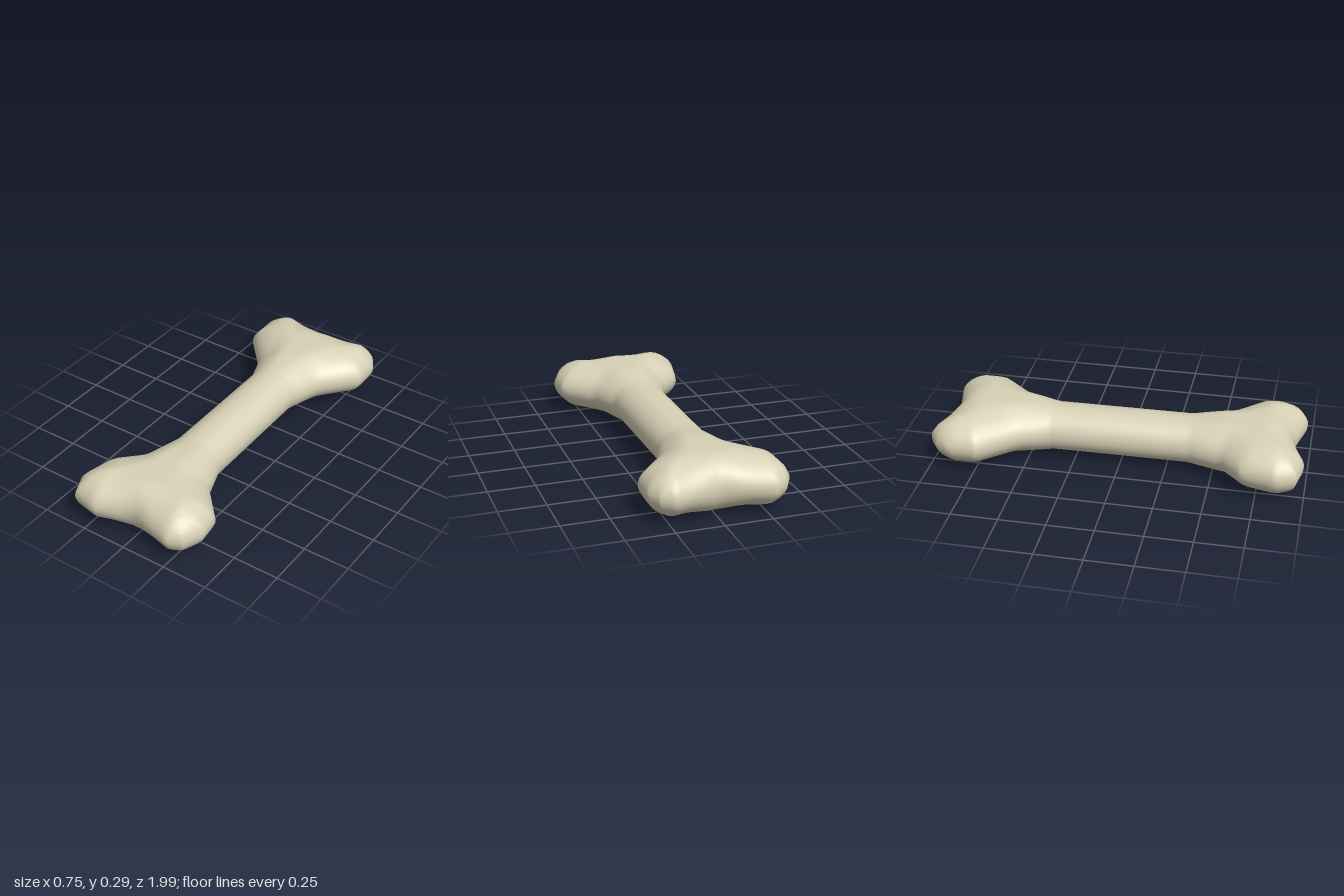
import * as THREE from 'three';
import { mergeVertices } from 'three/addons/utils/BufferGeometryUtils.js';

// plan outline as [x, z]: two long sides (paired point by point) and two notched ends
const LEFT = [[-.34, -.95], [-.38, -.88], [-.38, -.72], [-.215, -.53], [-.155, -.36],
  [-.15, .36], [-.21, .55], [-.33, .67], [-.375, .86], [-.33, .96]];
const RIGHT = [[.31, -.94], [.35, -.87], [.35, -.72], [.19, -.53], [.13, -.36],
  [.14, .36], [.21, .55], [.36, .71], [.375, .83], [.33, .94]];
const BACK = [[-.34, -.95], [-.27, -1], [-.01, -.92], [.24, -.98], [.31, -.94]];
const FRONT = [[-.33, .96], [-.19, .99], [-.02, .92], [.03, .92], [.25, .98], [.33, .94]];
const OUTLINE = [...BACK, ...RIGHT.slice(1), ...FRONT.slice(0, -1).reverse(), ...LEFT.slice(1, -1).reverse()];

const { lerp, clamp, smoothstep } = THREE.MathUtils;
const MID = 0.147;

// z of an end curve at a given x
function endZ(curve, x) {
  let i = 0;
  while (i < curve.length - 2 && x > curve[i + 1][0]) i++;
  const [a, b] = [curve[i], curve[i + 1]];
  return lerp(a[1], b[1], clamp((x - a[0]) / (b[0] - a[0]), 0, 1));
}

// shortest distance from a point to the plan outline
function edgeDistance(x, z) {
  let best = Infinity;
  OUTLINE.forEach(([ax, az], i) => {
    const [bx, bz] = OUTLINE[(i + 1) % OUTLINE.length];
    const dx = bx - ax, dz = bz - az;
    const t = clamp(((x - ax) * dx + (z - az) * dz) / (dx * dx + dz * dz), 0, 1);
    best = Math.min(best, Math.hypot(x - ax - t * dx, z - az - t * dz));
  });
  return best;
}

// half thickness: rounded rim, slimmer along the shaft, a tighter rim in the notch
function halfHeight(x, z) {
  const knob = clamp((Math.abs(z) - .36) / .19, 0, 1);
  const full = lerp(.125, .147, knob);
  const rim = lerp(.14, lerp(.14, .24, smoothstep(Math.abs(x), 0, .18)), knob);
  const k = 1 - Math.min(edgeDistance(x, z) / rim, 1);
  return full * Math.sqrt(Math.max(0, 1 - k * k));
}

function boneGeometry() {
  // rows along the length, packed closer towards both tips
  const rows = [];
  const last = LEFT.length - 2, steps = 6;
  for (let s = 0; s <= last; s++) {
    for (let j = 0; j < steps; j++) {
      const t = j / steps;
      rows.push(s + (s === 0 ? t * t : s === last ? 1 - (1 - t) ** 2 : t));
    }
  }
  rows.push(last + 1);

  const cols = 32, positions = [], index = [];
  const layer = rows.length * (cols + 1);
  for (const side of [1, -1]) {
    for (const v of rows) {
      const s = Math.min(Math.floor(v), last), t = v - s;
      const at = (c, k) => lerp(c[s][k], c[s + 1][k], t);
      for (let i = 0; i <= cols; i++) {
        const u = (1 - Math.cos(Math.PI * i / cols)) / 2;
        const x = lerp(at(LEFT, 0), at(RIGHT, 0), u);
        let z = lerp(at(LEFT, 1), at(RIGHT, 1), u);
        // bend the rows near each tip into the two-lobed end
        const [end, n] = z < 0 ? [BACK, 0] : [FRONT, last + 1];
        const endX = lerp(LEFT[n][0], RIGHT[n][0], u);
        const bend = endZ(end, endX) - lerp(LEFT[n][1], RIGHT[n][1], u);
        z += bend * clamp((Math.abs(z) - .53) / .41, 0, 1);
        const onRim = i === 0 || i === cols || v === 0 || v === last + 1;
        positions.push(x, MID + (onRim ? 0 : side * halfHeight(x, z)), z);
      }
    }
    const base = side > 0 ? 0 : layer;
    for (let r = 0; r < rows.length - 1; r++) {
      for (let i = 0; i < cols; i++) {
        const a = base + r * (cols + 1) + i, b = a + 1, c = a + cols + 1, d = c + 1;
        if (side > 0) index.push(a, c, b, b, c, d);
        else index.push(a, b, c, b, d, c);
      }
    }
  }
  let geometry = new THREE.BufferGeometry();
  geometry.setAttribute('position', new THREE.Float32BufferAttribute(positions, 3));
  geometry.setIndex(index);
  geometry = mergeVertices(geometry, 1e-5);
  geometry.computeVertexNormals();
  return geometry;
}

export function createModel() {
  const group = new THREE.Group();
  group.name = 'bone';
  const body = new THREE.Mesh(boneGeometry(), new THREE.MeshStandardMaterial({ color: 0xd8d1b6 }));
  body.name = 'boneBody';
  group.add(body);
  return group;
}
